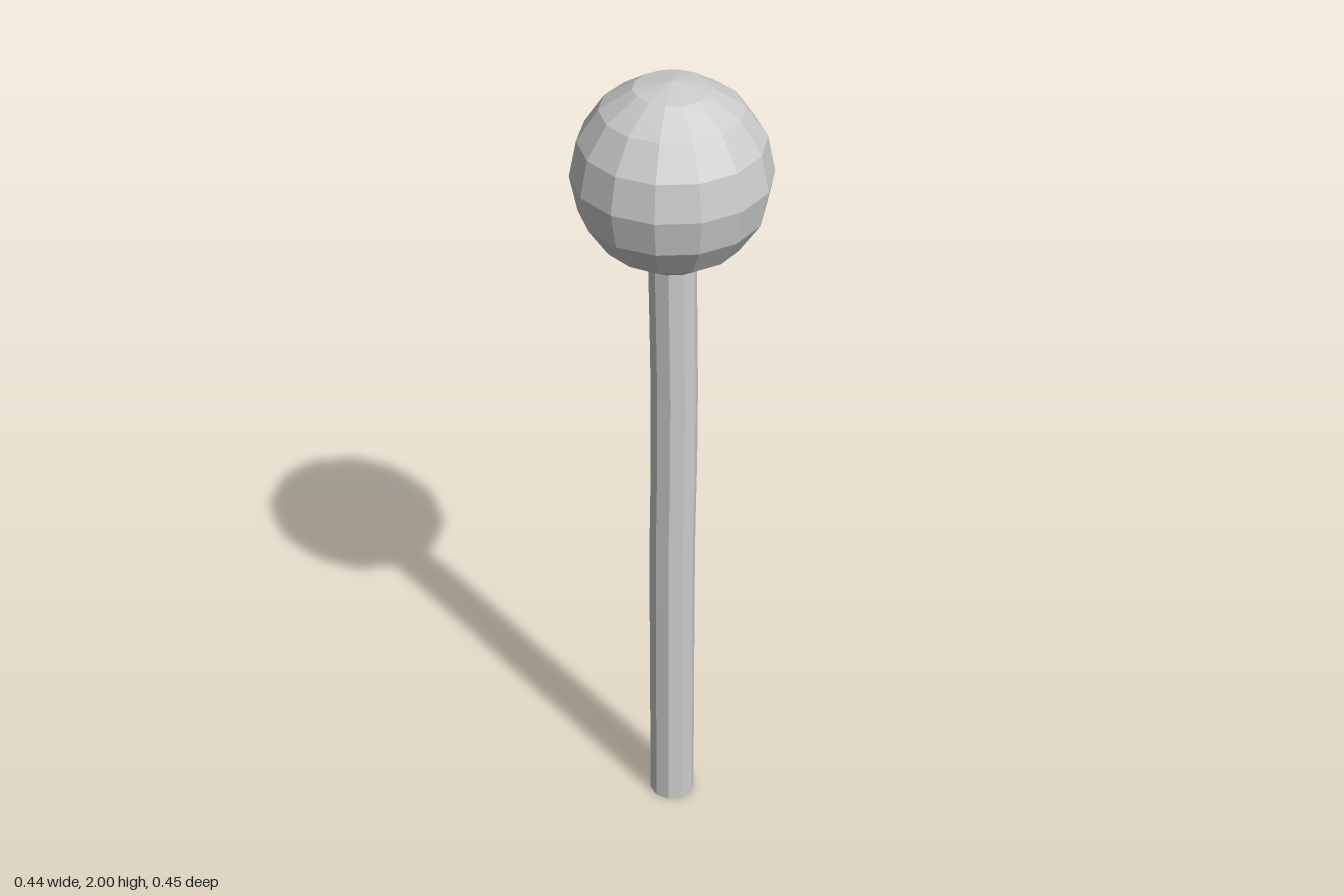
import * as THREE from 'three';

export function createModel() {
  const group = new THREE.Group();
  const material = new THREE.MeshStandardMaterial({ color: 0xcccccc, flatShading: true });

  // Slim stem, very slightly bowed in its upper half
  const stemHeight = 1.6;
  const stemGeometry = new THREE.CylinderGeometry(0.055, 0.055, stemHeight, 10, 8);
  stemGeometry.translate(0, stemHeight / 2, 0);
  const pos = stemGeometry.attributes.position;
  for (let i = 0; i < pos.count; i++) {
    const t = THREE.MathUtils.clamp((pos.getY(i) - 0.75) / 0.8, 0, 1);
    const bow = Math.sin(Math.PI * t);
    pos.setX(i, pos.getX(i) + 0.005 * bow);
    pos.setZ(i, pos.getZ(i) - 0.002 * bow);
  }
  stemGeometry.computeVertexNormals();
  const stem = new THREE.Mesh(stemGeometry, material);
  stem.name = 'stem';
  group.add(stem);

  // Faceted ball on top, with a corner facing front and back
  const radius = 0.227;
  const ballGeometry = new THREE.SphereGeometry(radius, 14, 8);
  ballGeometry.rotateY(Math.PI / 2);
  const ball = new THREE.Mesh(ballGeometry, material);
  ball.name = 'ball';
  ball.position.set(0, 2 - radius, -0.001);
  group.add(ball);

  return group;
}
